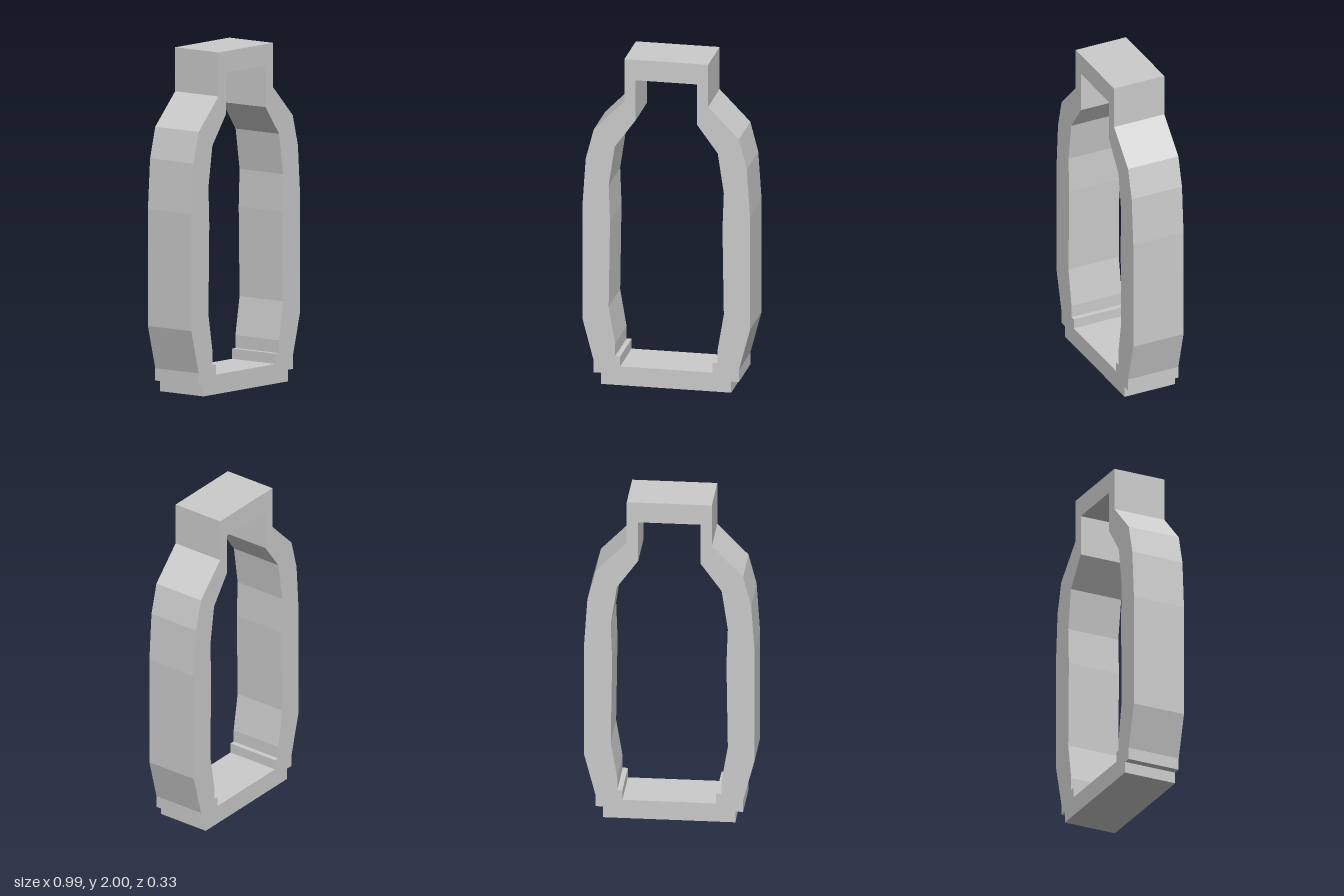
import * as THREE from 'three';

const DEPTH = 0.326;

// Closed outline from the points of its +x half, listed bottom to top
function mirrored(half) {
  const right = half.map(([x, y]) => new THREE.Vector2(x, y));
  const left = half.map(([x, y]) => new THREE.Vector2(-x, y)).reverse();
  return [...right, ...left];
}

export function createModel() {
  const group = new THREE.Group();
  group.name = 'bottleFrame';

  // Outer silhouette: stepped foot, bulging body, sloped shoulder, square neck
  const outer = mirrored([
    [0.385, 0], [0.385, 0.068], [0.43, 0.068], [0.43, 0.14],
    [0.497, 0.395], [0.497, 1.08], [0.477, 1.375], [0.43, 1.555],
    [0.248, 1.742], [0.248, 2],
  ]);

  // Opening: ledges at the floor, waisted sides, narrow neck
  const inner = mirrored([
    [0.273, 0.115], [0.273, 0.175], [0.303, 0.175], [0.303, 0.25],
    [0.341, 0.475], [0.333, 1.0], [0.341, 1.22], [0.305, 1.46],
    [0.181, 1.63], [0.181, 1.875],
  ]);

  const shape = new THREE.Shape(outer);
  shape.holes.push(new THREE.Path(inner));
  const geometry = new THREE.ExtrudeGeometry(shape, { depth: DEPTH, bevelEnabled: false });
  geometry.translate(0, 0, -DEPTH / 2);

  const frame = new THREE.Mesh(
    geometry,
    new THREE.MeshStandardMaterial({ color: 0xcccccc, flatShading: true }),
  );
  frame.name = 'frame';
  group.add(frame);
  return group;
}
